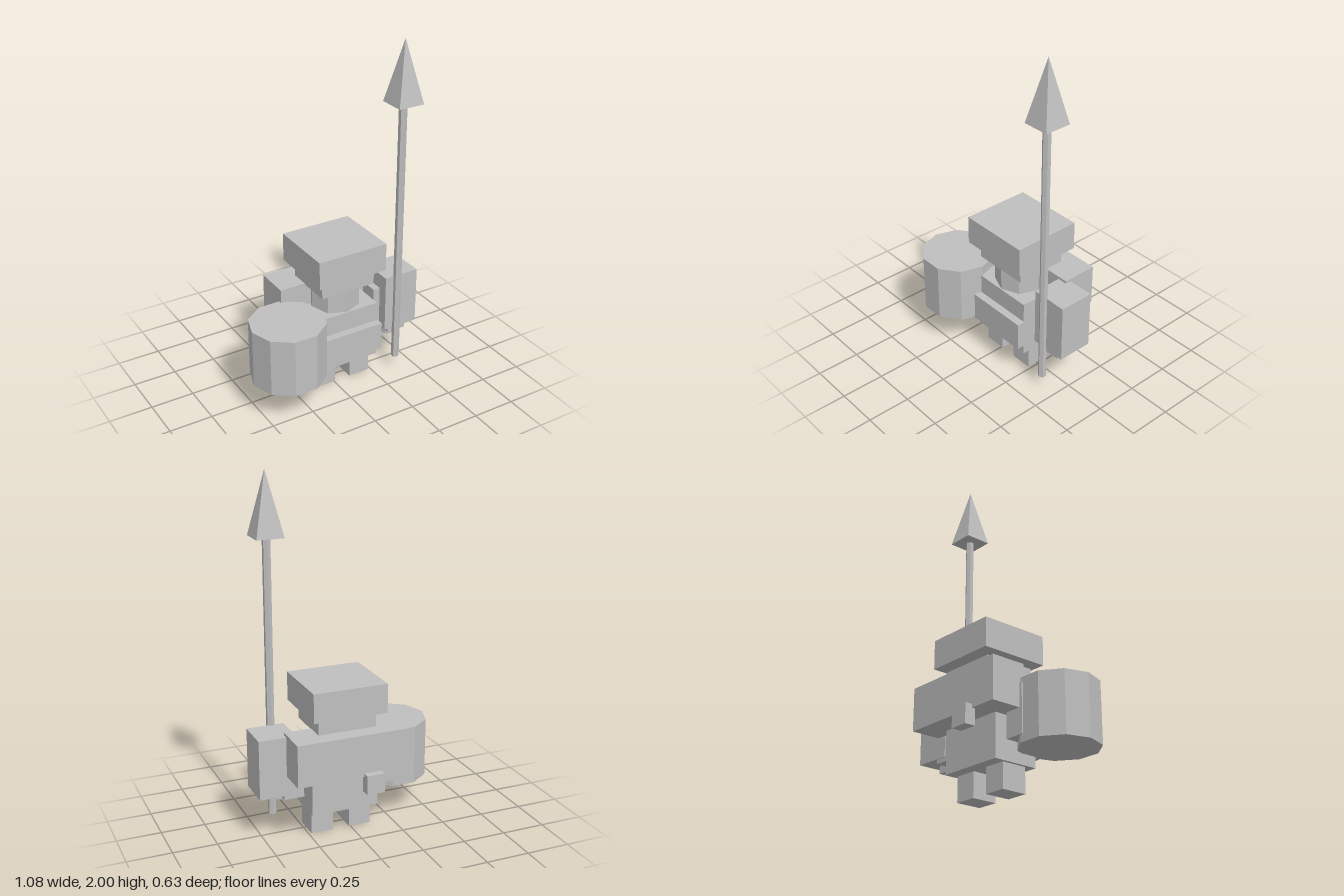
import * as THREE from 'three';

const grey = new THREE.MeshStandardMaterial({ color: 0xbfbfbf, flatShading: true });
grey.name = 'grey';

export function createModel() {
  const model = new THREE.Group();
  model.name = 'spearGuard';

  function add(name, geometry, x, y, z) {
    const mesh = new THREE.Mesh(geometry, grey);
    mesh.name = name;
    mesh.position.set(x, y, z);
    model.add(mesh);
    return mesh;
  }
  // Box given by its lower and upper limits on each axis
  function box(name, [x0, x1], [y0, y1], [z0, z1]) {
    return add(name, new THREE.BoxGeometry(x1 - x0, y1 - y0, z1 - z0),
      (x0 + x1) / 2, (y0 + y1) / 2, (z0 + z1) / 2);
  }
  // Upright prism or cone between two heights
  function prism(name, rTop, rBottom, sides, x, [y0, y1], z, turn = 0) {
    const g = new THREE.CylinderGeometry(rTop, rBottom, y1 - y0, sides);
    g.rotateY(turn);
    return add(name, g, x, (y0 + y1) / 2, z);
  }

  // Head and hat
  box('hat', [-0.155, 0.27], [0.71, 0.875], [-0.23, 0.17]);
  box('head', [-0.11, 0.225], [0.615, 0.69], [-0.18, 0.12]);
  const crown = prism('crown', 0.177, 0.237, 4, 0.057, [0.69, 0.71], -0.03, Math.PI / 4);
  crown.scale.z = 0.895;
  prism('neck', 0.145, 0.145, 8, 0.057, [0.48, 0.62], -0.03);
  prism('neckBase', 0.145, 0.145, 8, 0.057, [0.47, 0.485], -0.03);

  // Body
  box('torso', [-0.138, 0.252], [0.14, 0.48], [-0.15, 0.12]);
  box('frontPouch', [-0.12, 0.257], [0.2, 0.365], [0.11, 0.165]);
  box('backpack', [-0.263, 0.38], [0.38, 0.62], [-0.275, -0.07]);
  box('backLatch', [-0.105, 0], [0.29, 0.4], [-0.317, -0.255]);

  // Legs and arms, mirrored about the body's middle
  for (const side of [-1, 1]) {
    const leg = 0.057 + side * 0.113, arm = 0.057 + side * 0.28;
    const label = side > 0 ? 'left' : 'right';
    box(label + 'Leg', [leg - 0.064, leg + 0.064], [0, 0.14], [-0.085, 0.065]);
    box(label + 'Arm', [arm - 0.057, arm + 0.057], [0.24, 0.515], [-0.1, 0.04]);
  }

  // Blocks on the left arm
  box('armGuard', [0.322, 0.535], [0.265, 0.605], [-0.105, 0.1]);
  box('hand', [0.36, 0.477], [0.222, 0.265], [-0.015, 0.075]);
  prism('handKnob', 0.032, 0.032, 8, 0.386, [0.198, 0.24], 0.03);

  // Drum on the right arm
  prism('drum', 0.215, 0.215, 10, -0.325, [0.2, 0.54], 0.112, Math.PI / 2);

  // Spear
  prism('spearShaft', 0.023, 0.023, 6, 0.395, [0.07, 1.65], 0.108);
  prism('spearTip', 0, 0.109, 4, 0.396, [1.65, 2], 0.108, Math.PI / 4);

  return model;
}
